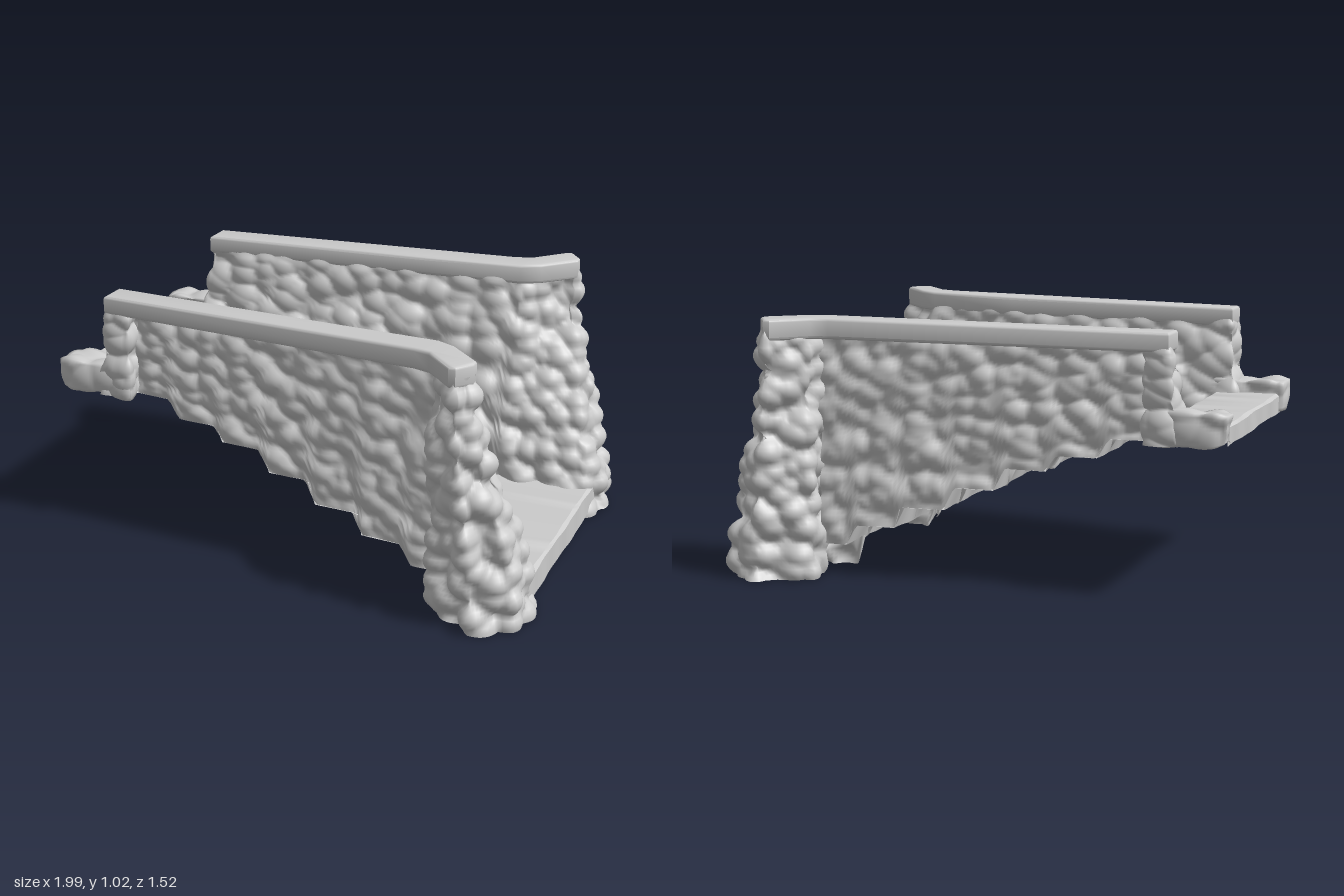
import * as THREE from 'three';
import { mergeVertices, toCreasedNormals } from 'three/addons/utils/BufferGeometryUtils.js';

const grey = new THREE.MeshStandardMaterial({ color: 0xcccccc, side: THREE.DoubleSide });
const { lerp, clamp, smoothstep } = THREE.MathUtils;

// Seeded hash for stone centres
function hash(x, y, z, k) {
  const v = Math.sin(x * 127.1 + y * 311.7 + z * 74.7 + k * 53.3) * 43758.5453;
  return v - Math.floor(v);
}

// Domed cellular pattern: high at stone centres, creased between stones
function stone(p, cell) {
  const q = [p.x / cell, p.y / (cell * 0.85), p.z / cell];
  const [cx, cy, cz] = q.map(Math.floor);
  let best = 9;
  for (let x = cx - 1; x <= cx + 1; x++)
    for (let y = cy - 1; y <= cy + 1; y++)
      for (let z = cz - 1; z <= cz + 1; z++) {
        const dx = x + hash(x, y, z, 1) - q[0];
        const dy = y + hash(x, y, z, 2) - q[1];
        const dz = z + hash(x, y, z, 3) - q[2];
        best = Math.min(best, dx * dx + dy * dy + dz * dz);
      }
  return 0.33 - Math.min(best, 0.7);
}

// Push vertices along their normals to form stones
function roughen(geo, amp, cell) {
  geo.computeVertexNormals();
  const pos = geo.attributes.position, nor = geo.attributes.normal;
  const p = new THREE.Vector3(), n = new THREE.Vector3();
  for (let i = 0; i < pos.count; i++) {
    p.fromBufferAttribute(pos, i);
    n.fromBufferAttribute(nor, i);
    p.addScaledVector(n, amp(p) * stone(p, cell));
    pos.setXYZ(i, p.x, Math.max(p.y, 0), p.z);
  }
  geo.computeVertexNormals();
  return geo;
}

// Grid surface from a rule giving [x, y, z] for column i and row j
function sheet(cols, rows, rule, flip = false) {
  const pos = [], idx = [];
  for (let i = 0; i <= cols; i++)
    for (let j = 0; j <= rows; j++) pos.push(...rule(i, j));
  for (let i = 0; i < cols; i++)
    for (let j = 0; j < rows; j++) {
      const a = i * (rows + 1) + j, b = a + rows + 1;
      if (flip) idx.push(a, b, a + 1, a + 1, b, b + 1);
      else idx.push(a, a + 1, b, a + 1, b + 1, b);
    }
  const geo = new THREE.BufferGeometry();
  geo.setAttribute('position', new THREE.Float32BufferAttribute(pos, 3));
  geo.setIndex(idx);
  geo.computeVertexNormals();
  return geo;
}

function add(group, name, geo) {
  const mesh = new THREE.Mesh(geo, grey);
  mesh.name = name;
  group.add(mesh);
}

const treads = [0.685, 0.615, 0.54, 0.48, 0.395, 0.305, 0.22, 0.14];
const edgeX = (k) => -0.7 + 0.2 * k;

// Tread height along x, with short sloped risers
function treadY(x) {
  let y = treads[0];
  for (let k = 0; k < 7; k++) y += (treads[k + 1] - treads[k]) * clamp((x - edgeX(k) + 0.04) / 0.045, 0, 1);
  return y;
}

// The back wall stands slightly further out towards the landing
const shift = (x, s) => (s < 0 ? 0.025 * clamp((0.6 - x) / 1.3, 0, 1) : 0);
const place = (x, z, s) => s * (z + shift(x, s));

// Thin stepped sheet with a lip at both ends
function stairs() {
  const profile = [[-0.975, 0.61], [-0.975, 0.675], [-0.965, 0.685]];
  for (let k = 0; k < 7; k++) {
    const x = edgeX(k);
    profile.push([x - 0.035, treads[k]], [x - 0.02, treads[k] - 0.008], [x + 0.003, treads[k + 1]]);
  }
  profile.push([0.93, 0.14], [0.943, 0.13], [0.943, 0.035]);
  const geo = sheet(profile.length - 1, 30, (i, j) => {
    const [x, y] = profile[i];
    const half = x > 0.6 ? 0.47 : 0.43 + (x + 0.7) * 0.085;
    const z = lerp(place(x, half, -1), half, j / 30);
    const inner = i > 2 && i < profile.length - 3 ? 1 : 0.4;
    return [x + inner * 0.006 * Math.sin(z * 23 + i * 2.1) * Math.cos(z * 11 + i),
      y + 0.002 * Math.sin(z * 14 + i * 1.7), z];
  });
  return toCreasedNormals(geo, 0.5);
}

// Plan of the stone skin, from the outer back edge around to the outer front edge:
// [bottom x, bottom z, top x, top z]
const plan = [
  [-0.68, 0.42, -0.68, 0.42], [-0.68, 0.49, -0.68, 0.49], [-0.815, 0.49, -0.77, 0.49],
  [-0.815, 0.325, -0.77, 0.382], [0.56, 0.35, 0.58, 0.492], [0.92, 0.385, 0.765, 0.635],
  [0.975, 0.5, 0.78, 0.66], [0.95, 0.65, 0.765, 0.695], [0.8, 0.73, 0.725, 0.737],
  [0.61, 0.62, 0.605, 0.62], [0.605, 0.52, 0.605, 0.52],
];

function wallSkin(s) {
  const cols = [];
  for (let k = 0; k < plan.length - 1; k++) {
    const a = plan[k], b = plan[k + 1];
    const n = Math.ceil(Math.hypot(b[0] - a[0], b[1] - a[1]) / 0.015);
    for (let i = 0; i < n; i++) cols.push(a.map((v, c) => lerp(v, b[c], i / n)));
  }
  cols.push(plan[plan.length - 1]);
  const rows = 64;
  const geo = sheet(cols.length - 1, rows, (i, j) => {
    const [bx, bz, tx, tz] = cols[i];
    const v = j / rows;
    const bottom = bx < -0.67 ? 0.61 : lerp(treadY(bx) - 0.01, 0.015, smoothstep(bx, 0.51, 0.55));
    // the pillar flares at its foot
    const w = lerp(v, smoothstep(v, 0, 1), clamp((bx - 0.5) / 0.3, 0, 1));
    const x = lerp(bx, tx, w);
    return [x, lerp(bottom, 0.985, v), place(x, lerp(bz, tz, w), s)];
  }, s < 0);
  const amp = (p) => lerp(0.055, 0.085, smoothstep(p.x, 0.45, 0.65)) * smoothstep(1 - p.y, 0.01, 0.07);
  return roughen(geo, amp, 0.1);
}

// Deeply recessed outer panel with a stepped lower edge
function outerPanel(s) {
  const cols = 86, rows = 50;
  const geo = sheet(cols, rows, (i, j) => {
    const x = lerp(-0.68, 0.605, i / cols);
    const bottom = Math.min(treadY(x), 0.615);
    return [x, lerp(bottom, 0.965, j / rows), place(x, lerp(0.43, 0.54, i / cols), s)];
  }, s > 0);
  return roughen(geo, (p) => 0.05 * smoothstep(p.y - treadY(p.x), -0.02, 0.05), 0.085);
}

// Smooth coping that turns outward at the front
function coping(s) {
  const outline = [[-0.765, 0.39], [0.2, 0.462], [0.58, 0.498], [0.65, 0.535], [0.765, 0.65],
    [0.765, 0.67], [0.725, 0.725], [0.71, 0.725], [0.6, 0.612], [0.53, 0.59], [-0.765, 0.485]];
  const shape = new THREE.Shape(outline.map(([x, z]) => new THREE.Vector2(x, -place(x, z, s))));
  const geo = new THREE.ExtrudeGeometry(shape, {
    depth: 0.048, bevelEnabled: true, bevelThickness: 0.012, bevelSize: 0.012, bevelSegments: 3,
  });
  geo.rotateX(-Math.PI / 2).translate(0, 0.96, 0);
  const pos = geo.attributes.position;
  for (let i = 0; i < pos.count; i++)
    if (pos.getY(i) > 0.99) pos.setY(i, pos.getY(i) + 0.014 * Math.max(0, pos.getX(i)));
  return toCreasedNormals(geo, 0.7);
}

// Low rounded kerb at the side of the upper landing, sloping down to its free end
function kerb(s) {
  let geo = new THREE.BoxGeometry(0.3, 0.125, s > 0 ? 0.13 : 0.115, 24, 10, 10);
  geo.deleteAttribute('uv');
  geo.deleteAttribute('normal');
  geo = mergeVertices(geo);
  const pos = geo.attributes.position;
  for (let i = 0; i < pos.count; i++) {
    const end = smoothstep(-pos.getX(i), 0.1, 0.15);
    pos.setY(i, pos.getY(i) * (1 - 0.15 * end));
    pos.setZ(i, pos.getZ(i) * (1 - 0.2 * end));
  }
  geo.translate(-0.838, 0.672, place(-0.84, 0.425, s));
  return roughen(geo, () => 0.04, 0.12);
}

export function createModel() {
  const model = new THREE.Group();
  model.name = 'stoneStaircase';
  add(model, 'stairs', stairs());
  for (const s of [1, -1]) {
    const side = new THREE.Group();
    side.name = s > 0 ? 'frontWall' : 'backWall';
    add(side, 'stoneWallAndPillar', wallSkin(s));
    add(side, 'outerStonePanel', outerPanel(s));
    add(side, 'coping', coping(s));
    add(side, 'landingKerb', kerb(s));
    model.add(side);
  }
  return model;
}
